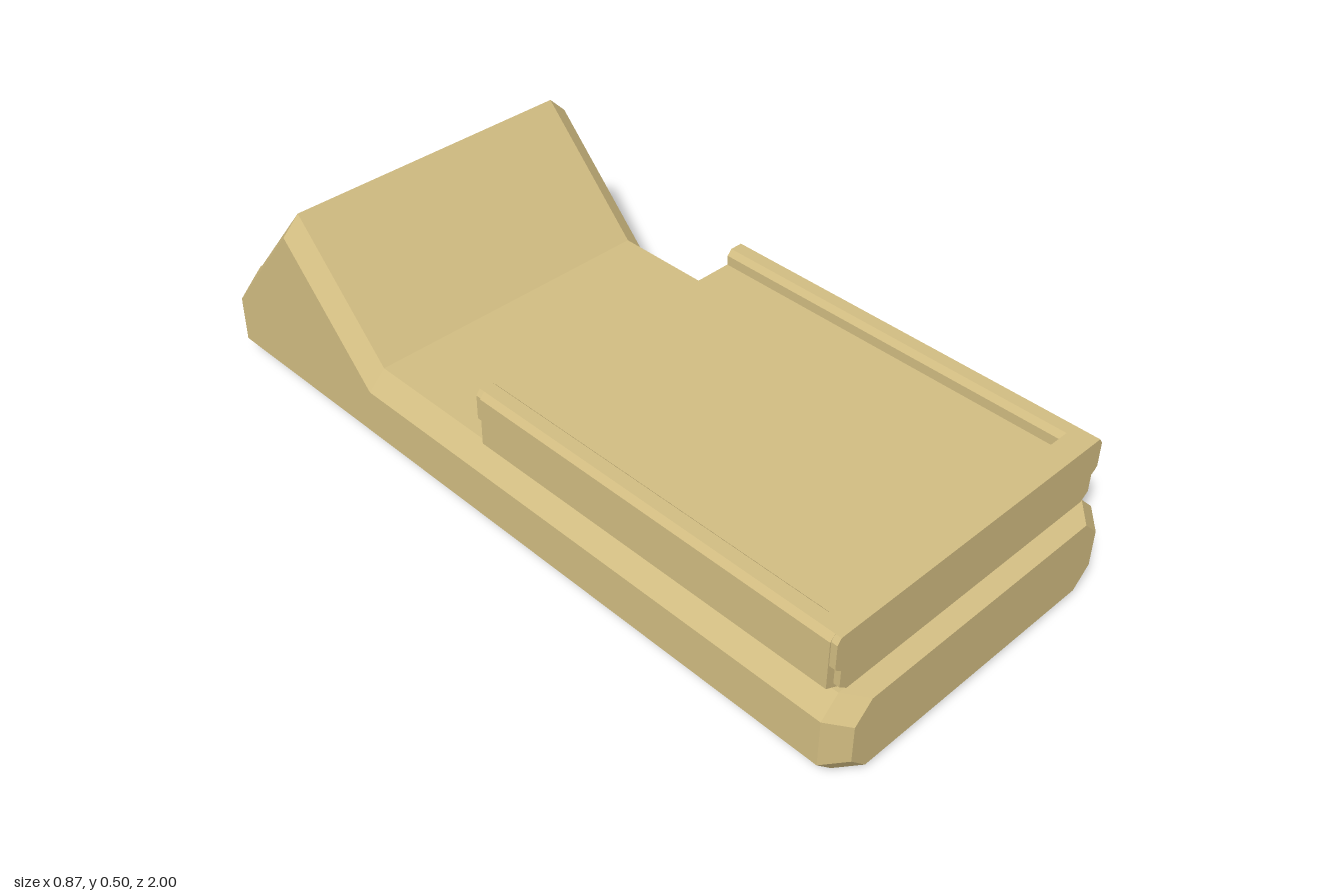
import * as THREE from 'three';

const material = new THREE.MeshStandardMaterial({ color: 0xd2bd82, flatShading: true });

// Chamfered rectangle, counter-clockwise seen from +z
function octagon(z, w, y0, y1, c = 0.046) {
  return [[w - c, y0], [w, y0 + c], [w, y1 - c], [w - c, y1],
    [c - w, y1], [-w, y1 - c], [-w, y0 + c], [c - w, y0]].map(([x, y]) => [x, y, z]);
}

// Skin a row of convex rings running from front to back, with end caps
function loft(rings) {
  const pos = [];
  const tri = (...p) => p.forEach((v) => pos.push(...v));
  const n = rings[0].length;
  for (let r = 0; r < rings.length - 1; r++) {
    const a = rings[r], b = rings[r + 1];
    for (let i = 0; i < n; i++) {
      const j = (i + 1) % n;
      tri(a[i], b[i], a[j]);
      tri(a[j], b[i], b[j]);
    }
  }
  const front = rings[0], back = rings[rings.length - 1];
  for (let i = 1; i < n - 1; i++) {
    tri(front[0], front[i], front[i + 1]);
    tri(back[0], back[i + 1], back[i]);
  }
  const g = new THREE.BufferGeometry();
  g.setAttribute('position', new THREE.Float32BufferAttribute(pos, 3));
  g.computeVertexNormals();
  return g;
}

// Extrude a half profile, mirrored in x, between two z positions
function slab(name, half, z0, z1) {
  const left = half.map(([x, y]) => [-x, y]).reverse();
  const shape = new THREE.Shape([...half, ...left].map(([x, y]) => new THREE.Vector2(x, y)));
  const g = new THREE.ExtrudeGeometry(shape, { depth: z1 - z0, bevelEnabled: false });
  const mesh = new THREE.Mesh(g.translate(0, 0, z0), material);
  mesh.name = name;
  return mesh;
}

export function createModel() {
  const model = new THREE.Group();
  model.name = 'wedgeBaseWithTray';

  // Chamfered base rising to a wedge near the back
  const base = new THREE.Mesh(loft([
    octagon(1, 0.39, 0.015, 0.202),
    octagon(0.954, 0.436, 0.003, 0.216),
    octagon(-0.43, 0.436, 0.003, 0.216),
    octagon(-0.715, 0.436, 0.003, 0.508),
    octagon(-0.954, 0.436, 0.003, 0.216),
    octagon(-1, 0.39, 0.015, 0.202),
  ]), material);
  base.name = 'base';
  model.add(base);

  // Tray: rim on the front and both sides, open at the back
  const tray = new THREE.Group();
  tray.name = 'tray';
  const side = [[0.385, 0.223], [0.418, 0.24], [0.418, 0.362], [0.405, 0.376]];
  const notched = [[0.375, 0.223], [0.397, 0.24], [0.397, 0.285], [0.408, 0.292],
    [0.415, 0.3], [0.415, 0.362], [0.405, 0.376]];
  const recess = [[0.372, 0.376], [0.36, 0.362], [0.36, 0.337]];
  tray.add(
    slab('trayBackEnd', [...notched, ...recess], -0.055, -0.04),
    slab('trayBody', [...side, ...recess], -0.04, 0.9),
    slab('trayFrontRim', side, 0.9, 0.945),
    slab('trayFrontEnd', notched, 0.945, 0.96),
  );
  model.add(tray);
  return model;
}
